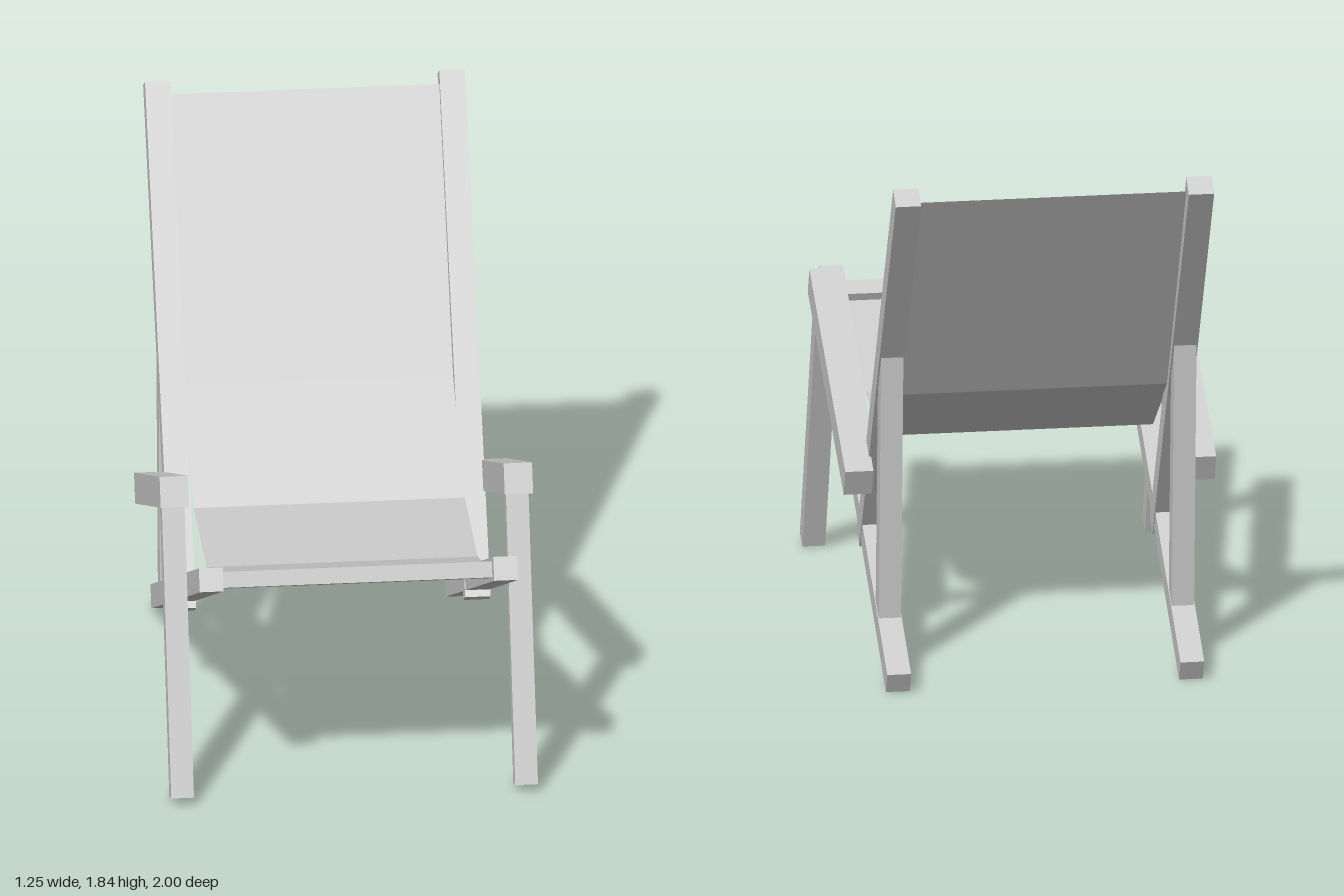
import * as THREE from 'three';

const material = new THREE.MeshStandardMaterial({ color: 0xcccccc });
const clothMaterial = new THREE.MeshStandardMaterial({ color: 0xcccccc, side: THREE.DoubleSide });

// Prism with a side profile of [z, y] points, centred on x with the given width.
function prism(name, profile, x, width) {
  const shape = new THREE.Shape(profile.map(([z, y]) => new THREE.Vector2(z, y)));
  const geometry = new THREE.ExtrudeGeometry(shape, { depth: width, bevelEnabled: false });
  geometry.translate(0, 0, -width / 2).rotateY(-Math.PI / 2);
  const mesh = new THREE.Mesh(geometry, material);
  mesh.name = name;
  mesh.position.x = x;
  return mesh;
}

// Square-ended beam running between two [z, y] points.
function beam(name, [z0, y0], [z1, y1], thickness, x, width) {
  const length = Math.hypot(z1 - z0, y1 - y0);
  const nz = (-(y1 - y0) / length) * thickness / 2;
  const ny = ((z1 - z0) / length) * thickness / 2;
  return prism(name, [
    [z0 + nz, y0 + ny], [z1 + nz, y1 + ny],
    [z1 - nz, y1 - ny], [z0 - nz, y0 - ny],
  ], x, width);
}

// Sling cloth: one sheet folded along straight creases.
function sling(path, width) {
  const sheet = new THREE.PlaneGeometry(width, 1, 1, path.length - 1);
  const position = sheet.attributes.position;
  for (let i = 0; i < position.count; i++) {
    const [z, y] = path[Math.floor(i / 2)];
    position.setY(i, y);
    position.setZ(i, z);
  }
  const geometry = sheet.toNonIndexed();
  geometry.computeVertexNormals();
  const mesh = new THREE.Mesh(geometry, clothMaterial);
  mesh.name = 'slingCloth';
  return mesh;
}

export function createModel() {
  const chair = new THREE.Group();
  chair.name = 'slingChair';

  for (const [label, side] of [['left', 1], ['right', -1]]) {
    const frame = new THREE.Group();
    frame.name = `${label}Frame`;
    const inner = side * 0.492;
    const outer = side * 0.575;
    frame.add(
      // Long rail from the seat front down to the ground at the back
      beam('seatRail', [0.984, 0.893], [-0.748, 0.04], 0.08, inner, 0.08),
      // Reclined back post
      beam('backPost', [-0.04, 0.314], [-0.965, 1.82], 0.077, inner, 0.085),
      // Brace with ends cut to meet the post and the rail
      prism('backBrace', [[-0.504, 0.987], [-0.588, 1.13], [-0.526, 0.19], [-0.449, 0.23]], inner, 0.075),
      // Sloping armrest and the front leg under it
      beam('armrest', [0.552, 1.021], [-0.362, 0.617], 0.103, outer, 0.095),
      beam('frontLeg', [0.812, 0.021], [0.467, 0.96], 0.073, outer, 0.076),
    );
    chair.add(frame);
  }

  // Crossbar at the seat front
  chair.add(prism('frontCrossbar', [[0.918, 0.89], [0.86, 0.861], [0.882, 0.812], [0.937, 0.84]], 0, 0.91));

  // Cloth from the top of the back to the crossbar
  chair.add(sling([[-0.934, 1.79], [-0.44, 0.947], [-0.06, 0.675], [0.4, 0.67], [0.89, 0.84]], 0.906));

  return chair;
}
